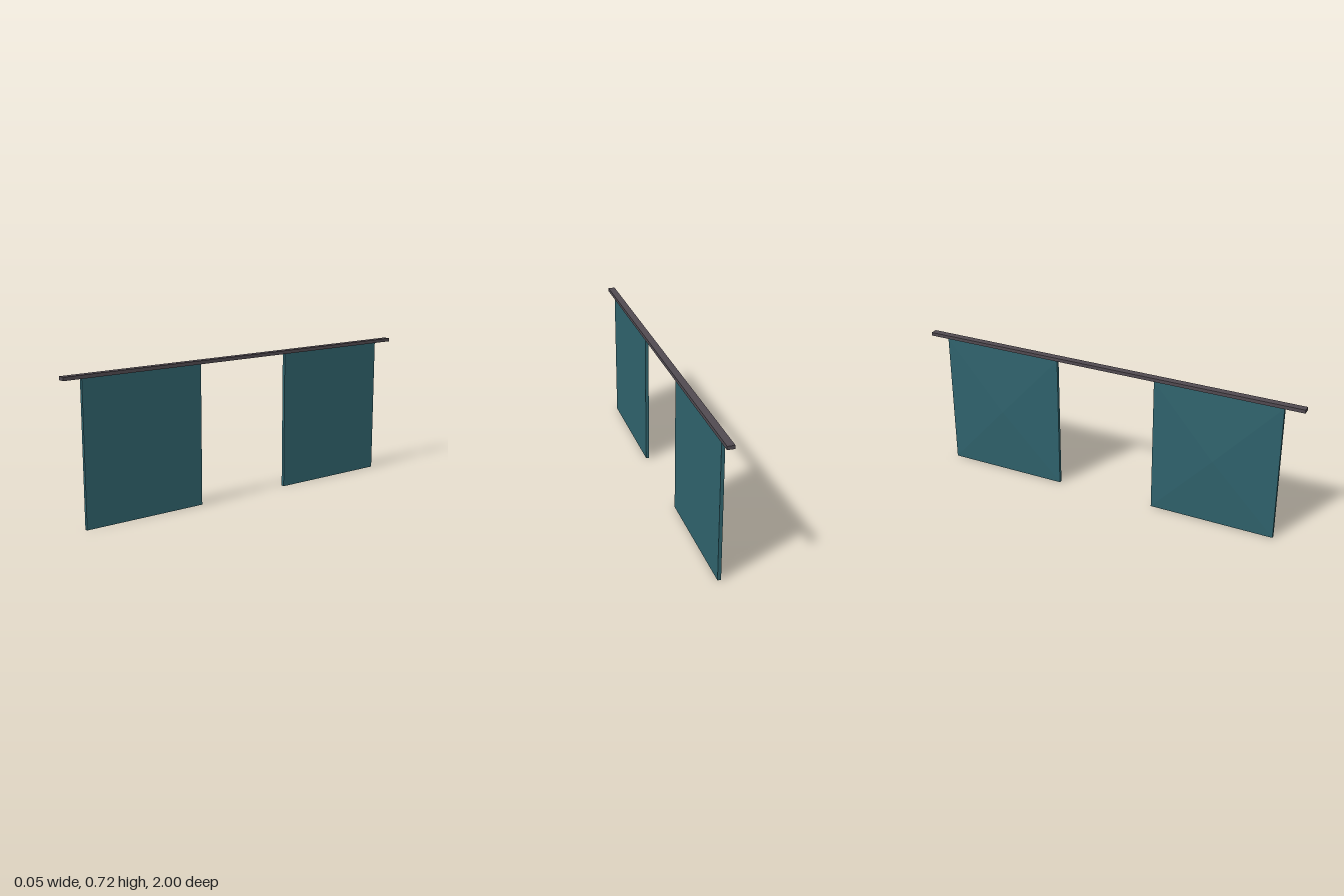
import * as THREE from 'three';

const teal = new THREE.MeshStandardMaterial({ color: 0x2f626c });
teal.name = 'teal cloth';
const grey = new THREE.MeshStandardMaterial({ color: 0x504a50 });
grey.name = 'dark grey rail';

const PANEL = { height: 0.7, width: 0.641, back: -0.005, front: 0.0115, centre: 0.582, bulge: 0.02 };
const RAIL = { minX: -0.012, maxX: 0.0235, height: 0.017, length: 2 };

function mesh(name, geometry, material, x, y, z) {
  const m = new THREE.Mesh(geometry, material);
  m.name = name;
  m.position.set(x, y, z);
  return m;
}

// Shallow four-sided pyramid with its apex toward -x
function bulgeGeometry(depth, height, width) {
  const g = new THREE.ConeGeometry(Math.SQRT1_2, 1, 4, 1, true)
    .rotateY(Math.PI / 4)
    .rotateZ(Math.PI / 2)
    .scale(depth, height, width)
    .toNonIndexed();
  g.computeVertexNormals();
  return g;
}

// Hanging panel: a thin slab with a bulged face
function createPanel(name, z) {
  const { height, width, back, front, bulge } = PANEL;
  const panel = new THREE.Group();
  panel.name = name;
  panel.position.set(0, height / 2, z);
  panel.add(
    mesh('panelSlab', new THREE.BoxGeometry(front - back, height, width), teal, (front + back) / 2, 0, 0),
    mesh('panelBulge', bulgeGeometry(bulge, height, width), teal, back - bulge / 2, 0, 0)
  );
  return panel;
}

export function createModel() {
  const model = new THREE.Group();
  model.name = 'hangingPanels';

  // Top rail
  const { minX, maxX, height, length } = RAIL;
  model.add(mesh('rail', new THREE.BoxGeometry(maxX - minX, height, length), grey,
    (minX + maxX) / 2, PANEL.height + height / 2, 0));

  // Panels mirrored along the rail
  model.add(createPanel('frontPanel', PANEL.centre), createPanel('backPanel', -PANEL.centre));
  return model;
}
